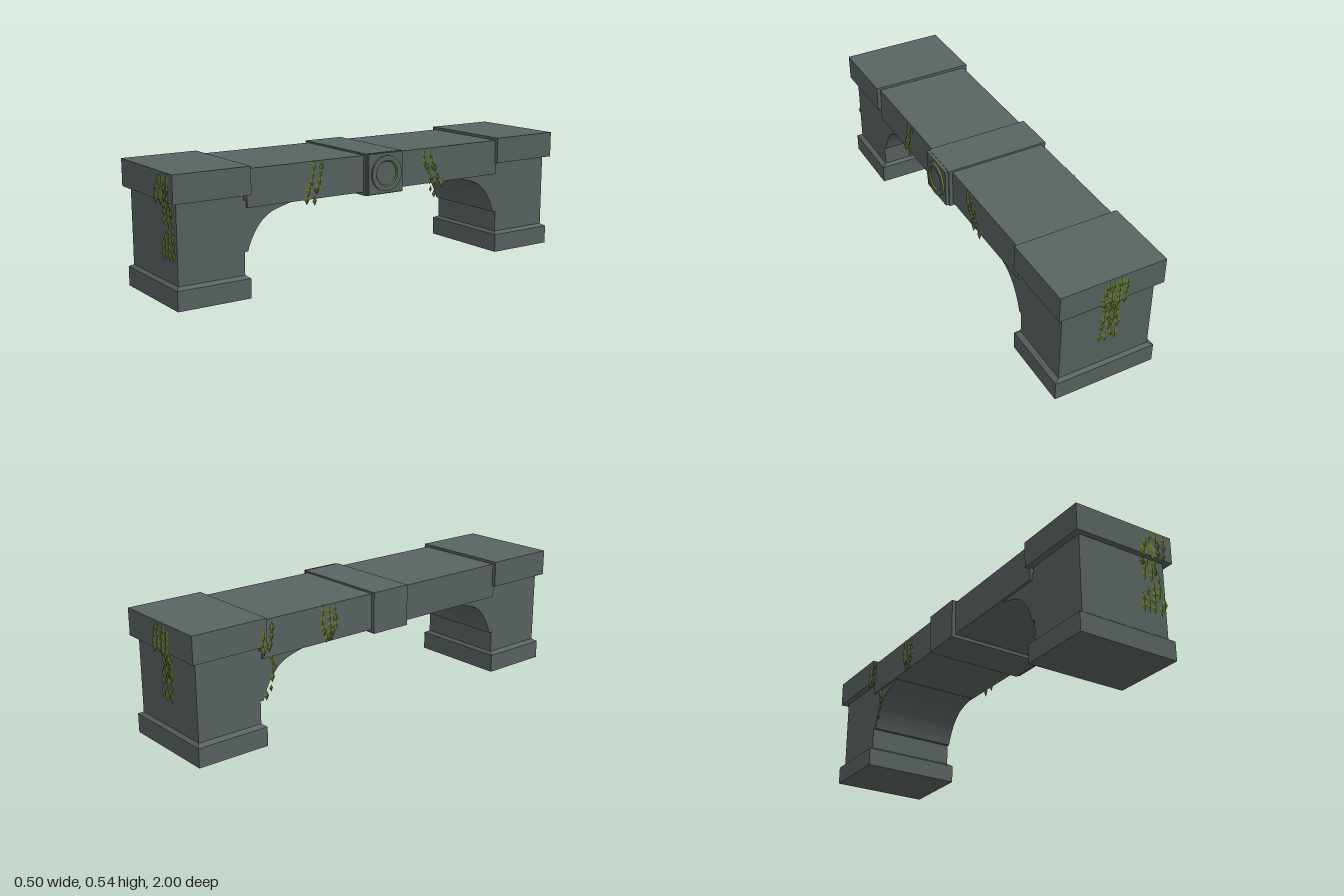
import * as THREE from 'three';
import { mergeGeometries } from 'three/addons/utils/BufferGeometryUtils.js';

const stone = new THREE.MeshStandardMaterial({ color: 0x5a6462 });
stone.name = 'stone';
const moss = new THREE.MeshStandardMaterial({ color: 0x667a33 });
moss.name = 'moss';

const CX = -0.005; // the masonry sits slightly off centre, the medallion balances it

function mesh(name, geometry, material = stone) {
  const m = new THREE.Mesh(geometry, material);
  m.name = name;
  return m;
}

// Box centred on x, given by its width and its y and z ranges
function block(name, width, y0, y1, z0, z1) {
  const g = new THREE.BoxGeometry(width, y1 - y0, z1 - z0);
  g.translate(0, (y0 + y1) / 2, (z0 + z1) / 2);
  return mesh(name, g);
}

// Sloped course between the plinth and the pillar
function plinthSlope() {
  const w = 0.458, d = 0.325;
  const g = new THREE.BoxGeometry(w, 0.011, d);
  const p = g.attributes.position;
  for (let i = 0; i < p.count; i++) {
    if (p.getY(i) > 0) p.setXYZ(i, p.getX(i) * 0.415 / w, p.getY(i), p.getZ(i) * 0.295 / d);
  }
  g.computeVertexNormals();
  g.translate(0, 0.0885, 0.8175);
  return mesh('plinthSlope', g);
}

// Curved bracket between the pillar and the beam
function archBracket() {
  const curve = new THREE.SplineCurve([
    [0.655, 0.19], [0.64, 0.23], [0.612, 0.28], [0.575, 0.32], [0.53, 0.345], [0.45, 0.368],
  ].map(([z, y]) => new THREE.Vector2(z, y)));
  const shape = new THREE.Shape([
    new THREE.Vector2(0.7, 0.4), new THREE.Vector2(0.7, 0.19),
    ...curve.getPoints(20), new THREE.Vector2(0.45, 0.4),
  ]);
  const g = new THREE.ExtrudeGeometry(shape, { depth: 0.415, bevelEnabled: false });
  g.rotateY(-Math.PI / 2).translate(0.2075, 0, 0);
  return mesh('archBracket', g);
}

function support(name) {
  const s = new THREE.Group();
  s.name = name;
  s.add(
    block('plinth', 0.458, 0, 0.083, 0.655, 0.98),
    plinthSlope(),
    block('pillar', 0.415, 0.09, 0.43, 0.67, 0.965),
    archBracket(),
    block('cap', 0.47, 0.424, 0.54, 0.65, 0.99),
  );
  return s;
}

// Round medallion on a square plate, facing +x
function medallion() {
  const g = new THREE.Group();
  g.name = 'medallion';
  const plate = mesh('medallionPlate', new THREE.BoxGeometry(0.014, 0.174, 0.178));
  plate.position.x = 0.007;
  g.add(plate);
  const turn = (name, pts, mat) => {
    const lathe = new THREE.LatheGeometry(pts.map(([r, h]) => new THREE.Vector2(r, h)), 32);
    lathe.rotateZ(-Math.PI / 2);
    g.add(mesh(name, lathe, mat));
  };
  turn('medallionRim', [[0.077, 0.012], [0.077, 0.023]], moss);
  turn('medallionRing', [[0.077, 0.023], [0.056, 0.023]], stone);
  turn('medallionGroove', [[0.056, 0.023], [0.051, 0.016]], moss);
  turn('medallionDisc', [[0.051, 0.016], [0, 0.016]], stone);
  g.position.set(0.23, 0.447, 0);
  return g;
}

let seed = 7;
const rand = () => (seed = (seed * 16807) % 2147483647) / 2147483647;

// Ivy on a wall: leaves are [across, y, size], depth(y) is the wall distance, turn aims it
function ivy(name, leaves, depth, turn) {
  const parts = leaves.map(([u, y, size = 1]) => {
    const g = new THREE.OctahedronGeometry(1);
    g.scale(0.014 * size, 0.025 * size, 0.007);
    g.rotateZ((rand() - 0.5) * 0.15);
    return g.translate(u, y, depth(y));
  });
  const m = mesh(name, mergeGeometries(parts), moss);
  m.rotation.y = turn;
  return m;
}

// Rows of leaves following a path of [across, y, half width]
function trail(path, rows, perRow, size) {
  const leaves = [];
  for (let i = 0; i < rows; i++) {
    const t = i / (rows - 1) * (path.length - 1);
    const k = Math.min(Math.floor(t), path.length - 2), f = t - k;
    const [u, y, w] = path[k].map((a, j) => a + (path[k + 1][j] - a) * f);
    for (let j = 0; j < perRow; j++) {
      const s = perRow > 1 ? j / (perRow - 1) * 2 - 1 : 0;
      leaves.push([u + s * w + (rand() - 0.5) * 0.01, y + (rand() - 0.5) * 0.02, size * (0.8 + rand() * 0.4)]);
    }
  }
  return leaves;
}

export function createModel() {
  const model = new THREE.Group();
  model.name = 'bridge';

  const masonry = new THREE.Group();
  masonry.name = 'masonry';
  masonry.position.x = CX;
  const front = support('frontSupport'), back = support('backSupport');
  back.rotation.y = Math.PI;
  masonry.add(
    front, back,
    block('beam', 0.436, 0.37, 0.528, -0.66, 0.66),
    block('keystone', 0.47, 0.355, 0.536, -0.095, 0.095),
  );
  model.add(masonry, medallion());

  // Ivy on the two ends
  const endDepth = y => (y > 0.42 ? 0.992 : 0.968);
  const frontLeaves = [
    [0.115, 0.505], [0.145, 0.508, 1.15], [0.186, 0.51, 1.15], [0.094, 0.475], [0.157, 0.48, 0.8],
    [0.187, 0.478, 0.8], [0.082, 0.44, 1.4], [0.125, 0.445, 1.6], [0.157, 0.445, 0.8], [0.182, 0.44, 0.8],
    [0.096, 0.405, 0.8], [0.117, 0.408], [0.156, 0.41, 0.9], [0.104, 0.378, 0.9], [0.139, 0.375, 1.2],
    [0.160, 0.375, 0.8], [0.101, 0.345, 1.1], [0.138, 0.345, 0.9], [0.174, 0.345], [0.112, 0.275],
    [0.144, 0.3, 1.1], [0.176, 0.307], [0.146, 0.268, 1.1], [0.171, 0.275], [0.089, 0.24],
    [0.117, 0.237, 1.2], [0.144, 0.238, 1.1], [0.194, 0.24, 1.2], [0.089, 0.205, 1.1], [0.115, 0.208],
    [0.144, 0.207], [0.178, 0.208, 1.1],
  ];
  const backPath = [[0.02, 0.51, 0.04], [0.01, 0.44, 0.05], [0.02, 0.36, 0.025], [0.01, 0.24, 0.035]];
  model.add(
    ivy('frontIvy', frontLeaves, endDepth, 0),
    ivy('backIvy', trail(backPath, 9, 4, 1.05), endDepth, Math.PI),
  );

  // Ivy on the beam sides; across runs along -z on the +x side and along +z on the -x side
  const right = Math.PI / 2, left = -right;
  model.add(
    ivy('rightFrontIvy', trail([[-0.325, 0.5, 0.02], [-0.34, 0.44, 0.02], [-0.365, 0.37, 0.018]], 6, 2, 0.9),
      () => 0.214, right),
    ivy('rightBackIvy', trail([[0.245, 0.5, 0.018], [0.27, 0.44, 0.015], [0.31, 0.365, 0.022]], 6, 2, 0.9),
      () => 0.214, right),
    ivy('leftBeamIvy', trail([[-0.33, 0.5, 0.03], [-0.325, 0.44, 0.035], [-0.33, 0.38, 0.015]], 5, 3, 0.9),
      () => 0.225, left),
    ivy('leftCapIvy', trail([[-0.65, 0.49, 0.02], [-0.655, 0.41, 0.015]], 4, 2, 0.95), () => 0.243, left),
    ivy('leftHangingIvy', trail([[-0.62, 0.37, 0], [-0.6, 0.31, 0], [-0.64, 0.2, 0]], 6, 1, 0.75),
      () => 0.216, left),
  );
  return model;
}
